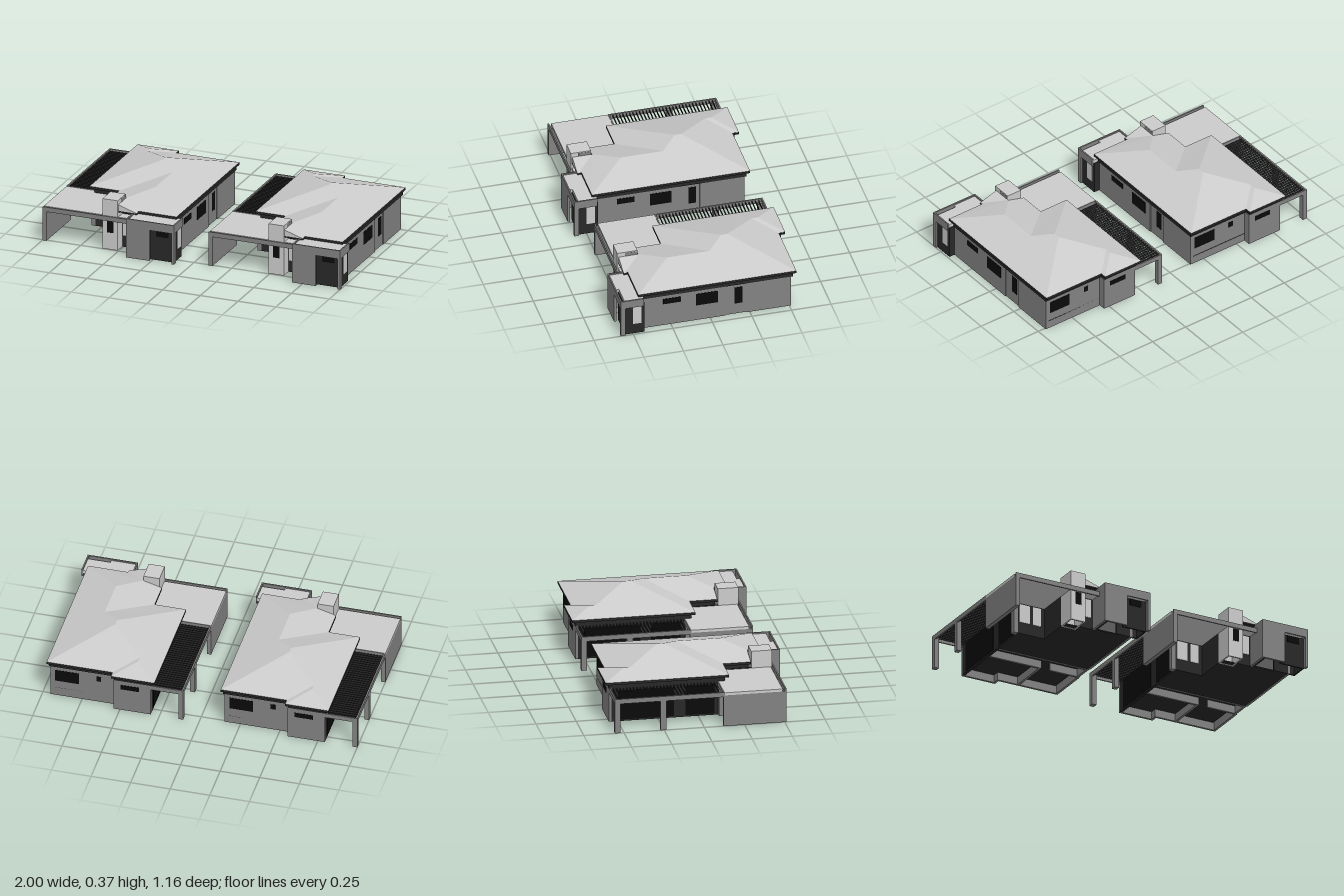
import * as THREE from 'three';

const mat = (color) => new THREE.MeshStandardMaterial({ color, flatShading: true, side: THREE.DoubleSide });
const PALE = mat(0xcccccc), WALL = mat(0x828282), DARK = mat(0x282828), BLACK = mat(0x0a0a0a);

// Box given by its minimum and maximum on each axis
function box(parent, name, [x0, x1], [y0, y1], [z0, z1], material) {
  const mesh = new THREE.Mesh(new THREE.BoxGeometry(x1 - x0, y1 - y0, z1 - z0), material);
  mesh.position.set((x0 + x1) / 2, (y0 + y1) / 2, (z0 + z1) / 2);
  mesh.name = name;
  parent.add(mesh);
}

// Plan outline of [x, z] corners raised into a slab
function slab(parent, name, outline, y0, y1, material) {
  const shape = new THREE.Shape(outline.map(([x, z]) => new THREE.Vector2(x, -z)));
  const geo = new THREE.ExtrudeGeometry(shape, { depth: y1 - y0, bevelEnabled: false });
  geo.rotateX(-Math.PI / 2).translate(0, y0, 0);
  const mesh = new THREE.Mesh(geo, material);
  mesh.name = name;
  parent.add(mesh);
}

// Planar faces, each a fan of named corners
function fanFaces(corners, faces) {
  const pos = [];
  for (const face of faces) {
    for (let i = 1; i < face.length - 1; i++) {
      for (const k of [face[0], face[i], face[i + 1]]) pos.push(...corners[k]);
    }
  }
  const geo = new THREE.BufferGeometry();
  geo.setAttribute('position', new THREE.Float32BufferAttribute(pos, 3));
  geo.computeVertexNormals();
  return geo;
}

function addRoof(house) {
  const e = 0.264;
  const c = {
    wingBL: [-0.824, e, -0.58], wingBR: [-0.55, e, -0.58], inner: [-0.55, e, -0.54],
    backR: [-0.133, e, -0.54], frontR: [-0.133, e, 0.46], frontL: [-0.385, e, 0.46],
    notch: [-0.508, 0.297, 0.36], sideF: [-0.626, e, 0.36],
    gableTop: [-0.508, 0.297, 0.485], gableLow: [-0.508, 0.257, 0.485], gableR: [-0.385, 0.257, 0.485],
    valley: [-0.626, e, 0.187], mainFL: [-0.824, e, 0.187],
    topB: [-0.479, 0.368, -0.196], topF: [-0.479, 0.368, -0.155],
    lowB: [-0.374, 0.337, -0.055], lowF: [-0.374, 0.337, 0.214],
    wingF: [-0.687, 0.3053, -0.443], wingJoin: [-0.687, 0.3053, -0.403],
  };
  const roof = new THREE.Mesh(fanFaces(c, [
    ['mainFL', 'topF', 'topB', 'wingJoin', 'wingF', 'wingBL'],
    ['wingBL', 'wingF', 'wingBR'],
    ['wingBR', 'wingF', 'wingJoin', 'inner'],
    ['inner', 'wingJoin', 'topB', 'backR'],
    ['backR', 'topB', 'topF', 'lowB'],
    ['backR', 'lowB', 'lowF', 'frontR'],
    ['mainFL', 'valley', 'lowB', 'topF'],
    ['valley', 'sideF', 'notch', 'lowF', 'lowB'],
    ['notch', 'gableR', 'frontL', 'frontR', 'lowF'],
    // Small gable beside the tower
    ['notch', 'gableTop', 'gableR'],
    ['gableTop', 'gableLow', 'gableR'],
  ]), PALE);
  roof.name = 'hippedRoof';
  house.add(roof);

  slab(house, 'eaveFascia', [[-0.824, 0.187], [-0.626, 0.187], [-0.626, 0.36], [-0.508, 0.36], [-0.508, 0.485],
    [-0.385, 0.485], [-0.385, 0.46], [-0.133, 0.46], [-0.133, -0.54], [-0.55, -0.54], [-0.55, -0.58],
    [-0.824, -0.58]], 0.248, 0.257, DARK);
  // Thin edge between the fascia and the roof surface
  for (const [x0, x1, z0, z1] of [[-0.135, -0.133, -0.54, 0.46], [-0.824, -0.822, -0.58, 0.187], [-0.824, -0.55, -0.58, -0.578],
    [-0.55, -0.133, -0.54, -0.538], [-0.385, -0.133, 0.458, 0.46], [-0.824, -0.626, 0.185, 0.187], [-0.626, -0.624, 0.187, 0.36]]) {
    box(house, 'eaveEdge', [x0, x1], [0.255, e], [z0, z1], DARK);
  }
  slab(house, 'soffitBand', [[-0.8, 0.165], [-0.605, 0.165], [-0.605, 0.35], [-0.515, 0.35], [-0.405, 0.44],
    [-0.143, 0.44], [-0.143, -0.52], [-0.565, -0.52], [-0.565, -0.557], [-0.8, -0.557]], 0.22, 0.248, DARK);
}

function addWalls(house) {
  const h = [0, 0.22], t = 0.015;
  const alongX = (name, x0, x1, z, m = WALL) => box(house, name, [x0, x1], h, [z - t, z], m);
  const alongZ = (name, x, z0, z1, m = WALL) => box(house, name, [x - t, x], h, [z0, z1], m);

  // Outer walls; the right side has a shallow recess
  alongZ('rightWall', -0.15, -0.095, 0.44);
  alongZ('rightRecessWall', -0.156, -0.227, -0.095);
  alongZ('rightRearWall', -0.15, -0.51, -0.227);
  alongX('backWall', -0.56, -0.15, -0.495);
  alongX('backWingWall', -0.795, -0.56, -0.54);
  alongZ('backWingReturn', -0.56, -0.555, -0.495);
  alongZ('terraceWall', -0.78, -0.54, 0.16, DARK);
  alongX('carportWall', -0.795, -0.6, 0.16, DARK);
  alongZ('carportSideWall', -0.595, 0.16, 0.37, DARK);
  alongX('frontWall', -0.508, -0.417, 0.42, DARK);
  box(house, 'terracePier', [-0.822, -0.795], [0, 0.2], [0.125, 0.16], WALL);

  // Floors: level with the ground in front, raised in the back rooms
  slab(house, 'floor', [[-0.78, 0.145], [-0.6, 0.145], [-0.6, 0.405], [-0.417, 0.405], [-0.417, 0.425],
    [-0.165, 0.425], [-0.165, -0.1], [-0.78, -0.1]], 0.002, 0.01, DARK);
  slab(house, 'backFloor', [[-0.78, -0.1], [-0.17, -0.1], [-0.17, -0.51], [-0.575, -0.51], [-0.575, -0.54],
    [-0.78, -0.54]], 0.05, 0.058, DARK);

  // Room partitions
  alongX('partition', -0.78, -0.42, -0.22);
  alongX('partition', -0.36, -0.17, -0.22);
  alongZ('partition', -0.42, -0.495, -0.22);
  alongX('partition', -0.78, -0.17, -0.1);

  // Windows, set slightly proud of their walls
  for (const [z0, z1, y0] of [[0.186, 0.298, 0.155], [-0.047, 0.09, 0.109], [-0.205, -0.155, 0.075]]) {
    const x = z1 < -0.1 ? -0.156 : -0.15;
    box(house, 'sideWindow', [x - 0.002, x + 0.002], [y0, 0.193], [z0, z1], BLACK);
  }
  for (const [x0, x1, y0, z] of [[-0.33, -0.18, 0.11, -0.51], [-0.47, -0.44, 0.155, -0.51], [-0.72, -0.605, 0.158, -0.555]]) {
    box(house, 'backWindow', [x0, x1], [y0, 0.19], [z - 0.002, z + 0.002], BLACK);
  }
  for (const [x0, x1, z] of [[-0.786, -0.711, 0.16], [-0.69, -0.636, 0.16], [-0.503, -0.428, 0.42]]) {
    box(house, 'frontWindow', [x0, x1], [0.075, 0.195], [z - 0.002, z + 0.003], PALE);
  }
  for (const [z0, z1] of [[-0.5, -0.15], [-0.08, 0.1]]) {
    box(house, 'terraceWindow', [-0.797, -0.793], [0.01, 0.2], [z0, z1], BLACK);
  }
}

function addTower(house) {
  // Open shaft beside the front wall, with a cap
  const y = [0, 0.32];
  box(house, 'towerFront', [-0.609, -0.508], y, [0.484, 0.494], PALE);
  box(house, 'towerBack', [-0.609, -0.508], y, [0.366, 0.376], PALE);
  for (const x of [-0.609, -0.518]) box(house, 'towerSide', [x, x + 0.01], y, [0.376, 0.484], PALE);
  box(house, 'towerCap', [-0.609, -0.508], [0.32, 0.326], [0.366, 0.494], PALE);
  box(house, 'towerVent', [-0.509, -0.507], [0.298, 0.32], [0.37, 0.444], WALL);
  box(house, 'towerWindow', [-0.578, -0.535], [0.11, 0.19], [0.492, 0.496], BLACK);
}

function addPorch(house) {
  box(house, 'porchFrontWall', [-0.417, -0.262], [0, 0.2], [0.565, 0.58], WALL);
  box(house, 'porchLeftWall', [-0.417, -0.402], [0, 0.2], [0.42, 0.565], WALL);
  // Dark enclosed entrance with a front window and a side panel
  box(house, 'entranceFront', [-0.277, -0.117], [0, 0.2], [0.54, 0.55], DARK);
  box(house, 'entranceSide', [-0.122, -0.112], [0, 0.2], [0.44, 0.55], DARK);
  box(house, 'entranceBack', [-0.262, -0.112], [0, 0.22], [0.428, 0.44], DARK);
  box(house, 'entranceWindow', [-0.23, -0.148], [0.155, 0.195], [0.548, 0.553], BLACK);
  box(house, 'entranceSidePanel', [-0.114, -0.11], [0.07, 0.198], [0.447, 0.5], PALE);
  box(house, 'porchPost', [-0.117, -0.1], [0, 0.2], [0.55, 0.58], WALL);
  // Parapet around the flat porch roof, with a slot behind its front edge
  box(house, 'porchParapet', [-0.417, -0.1], [0.2, 0.254], [0.571, 0.58], WALL);
  box(house, 'porchParapet', [-0.109, -0.1], [0.2, 0.254], [0.433, 0.571], WALL);
  box(house, 'porchParapet', [-0.417, -0.408], [0.2, 0.254], [0.433, 0.571], WALL);
  slab(house, 'porchRoof', [[-0.408, 0.43], [-0.408, 0.571], [-0.25, 0.571], [-0.25, 0.552], [-0.109, 0.552], [-0.109, 0.43]],
    0.222, 0.245, PALE);
}

function addCarport(house) {
  box(house, 'carportSide', [-1, -0.973], [0, 0.2], [0.12, 0.51], WALL);
  slab(house, 'carportRoof', [[-1, 0.128], [-1, 0.487], [-0.39, 0.487], [-0.39, 0.36], [-0.6, 0.36], [-0.6, 0.128]],
    0.2, 0.217, PALE);
  box(house, 'carportBeam', [-1, -0.417], [0.19, 0.22], [0.501, 0.51], WALL);
  box(house, 'carportBeam', [-1, -0.795], [0.19, 0.22], [0.12, 0.128], WALL);
}

function addPergola(house) {
  for (const z of [-0.556, -0.272]) box(house, 'pergolaPost', [-1, -0.97], [0, 0.2], [z, z + 0.035], WALL);
  box(house, 'pergolaBeam', [-1, -0.99], [0.19, 0.22], [-0.556, 0.12], WALL);
  box(house, 'pergolaBeam', [-1, -0.795], [0.19, 0.22], [-0.556, -0.547], WALL);
  const count = 32;
  for (let i = 1; i < count; i++) {
    const z = -0.55 + (0.67 * i) / count;
    box(house, 'pergolaSlat', [-0.99, -0.795], [0.2, 0.215], [z - 0.0015, z + 0.0015], DARK);
  }
}

export function createModel() {
  const model = new THREE.Group();
  model.name = 'pairOfHouses';
  const house = new THREE.Group();
  house.name = 'house';
  for (const add of [addRoof, addWalls, addTower, addPorch, addCarport, addPergola]) add(house);
  const second = house.clone();
  second.position.x = 1.1;
  model.add(house, second);
  return model;
}
